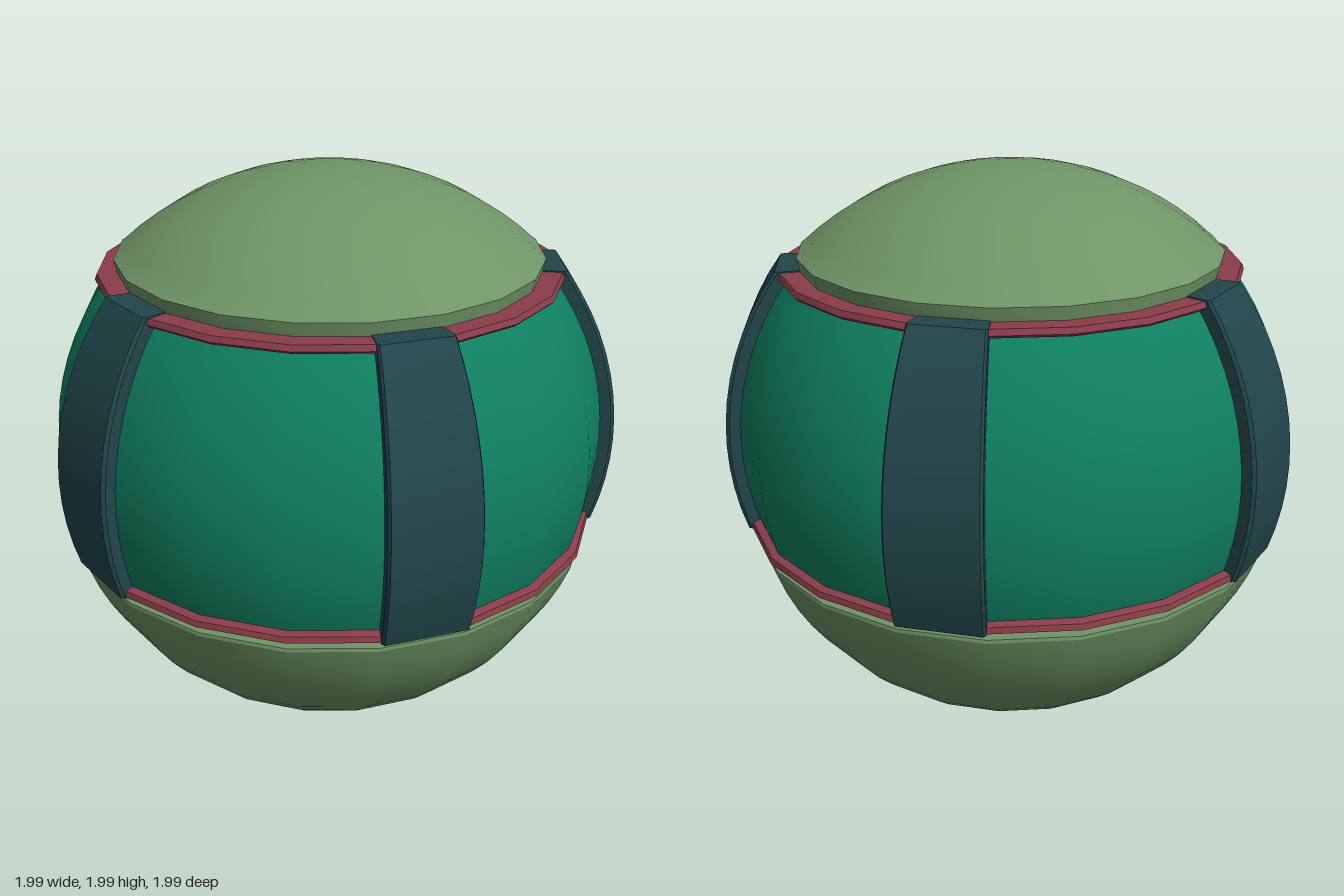
import * as THREE from 'three';
import { toCreasedNormals } from 'three/addons/utils/BufferGeometryUtils.js';

const SIDES = 20;
const BAND_Y = 1.05; // centre height of the banded middle
const STEP = (Math.PI * 2) / SIDES;

const mat = (color) => new THREE.MeshStandardMaterial({ color, side: THREE.DoubleSide });
const capMat = mat(0x6f9465);
const bodyMat = mat(0x0f8060);
const strapMat = mat(0x21464b);
const trimMat = mat(0x8a3d49);
const greyMat = mat(0x666666);

// Profile points [radius, y] on a circle between two heights
function arc(R, cy, y0, y1, n) {
  const a0 = Math.asin(Math.max(-1, (y0 - cy) / R));
  const a1 = Math.asin(Math.min(1, (y1 - cy) / R));
  return Array.from({ length: n + 1 }, (_, i) => {
    const a = a0 + ((a1 - a0) * i) / n;
    return [Math.max(0, R * Math.cos(a)), cy + R * Math.sin(a)];
  });
}

// Turned part, profile listed from bottom to top along its outside
function turned(name, profile, material) {
  const pts = profile.map(([r, y]) => new THREE.Vector2(r, y));
  const geo = toCreasedNormals(new THREE.LatheGeometry(pts, SIDES), 0.5);
  const mesh = new THREE.Mesh(geo, material);
  mesh.name = name;
  return mesh;
}

// One curved strap covering one facet of the body, with bevelled long edges
function strapGeometry() {
  const half = STEP / 2;
  const n = 12;
  const inner = arc(0.95, BAND_Y, 0.73, 1.668, n);
  const outer = arc(1.02, BAND_Y, 0.73, 1.668, n);
  const rows = [];
  const section = (i, flat) => {
    const y = outer[i][1];
    const rIn = Math.sqrt(0.95 ** 2 - (y - BAND_Y) ** 2);
    const rOut = flat ? rIn : outer[i][0];
    const rMid = flat ? rIn : rOut - 0.012;
    return [[rIn, -half], [rMid, -half], [rOut, -half * 0.94],
      [rOut, half * 0.94], [rMid, half], [rIn, half]]
      .map(([r, a]) => [r * Math.sin(a), y, r * Math.cos(a)]);
  };
  rows.push(section(0, true));
  for (let i = 0; i < inner.length; i++) rows.push(section(i, false));
  rows.push(section(n, true));

  const pos = [];
  for (let i = 0; i < rows.length - 1; i++) {
    for (let j = 0; j < 5; j++) {
      const a = rows[i][j], b = rows[i][j + 1], c = rows[i + 1][j + 1], d = rows[i + 1][j];
      pos.push(...a, ...b, ...c, ...a, ...c, ...d);
    }
  }
  const geo = new THREE.BufferGeometry();
  geo.setAttribute('position', new THREE.Float32BufferAttribute(pos, 3));
  return toCreasedNormals(geo, 0.35);
}

export function createModel() {
  const model = new THREE.Group();
  model.name = 'bandedBall';

  // Lower bowl with a flat rim
  model.add(turned('lowerBowl', [
    ...arc(0.987, 0.991, 0.004, 0.69, 14), [0.938, 0.702], [0.9, 0.702], [0, 0.702],
  ], capMat));

  // Grey seat between bowl and body
  model.add(turned('seatRing', [
    [0.88, 0.7], [0.915, 0.712], [0.955, 0.735], [0.9, 0.738],
  ], greyMat));

  // Body
  model.add(turned('body', arc(0.97, BAND_Y, 0.735, 1.655, 12), bodyMat));

  // Red trims at both ends of the body
  model.add(turned('lowerTrim', [
    [0.9, 0.735], [0.957, 0.735], [0.952, 0.755], [0.935, 0.762], [0.9, 0.762],
  ], trimMat));
  model.add(turned('upperTrim', [
    [0.74, 1.635], [0.793, 1.635], [0.803, 1.645], [0.795, 1.664], [0.7, 1.664],
  ], trimMat));

  // Domed lid with a short upright rim
  model.add(turned('lid', [
    [0, 1.655], [0.725, 1.655], [0.737, 1.71], ...arc(1.08, 0.918, 1.713, 1.998, 10),
  ], capMat));

  // Five straps
  const geo = strapGeometry();
  for (let i = 0; i < 5; i++) {
    const strap = new THREE.Mesh(geo, strapMat);
    strap.name = 'strap' + (i + 1);
    strap.rotation.y = -STEP / 2 + (i * Math.PI * 2) / 5;
    model.add(strap);
  }

  // Centre the whole by its outline
  for (const part of model.children) part.position.set(0.022, 0, -0.024);
  return model;
}
